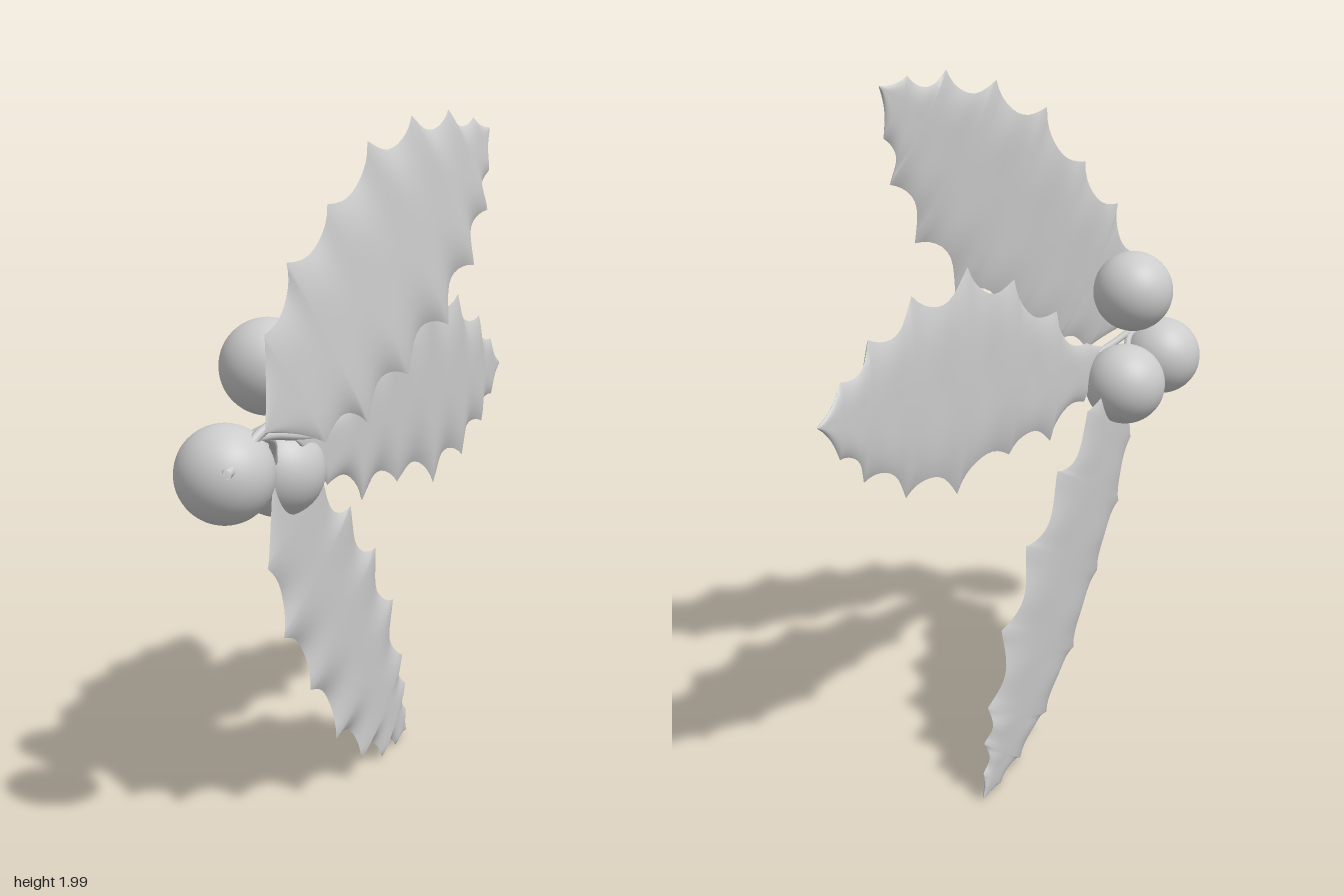
import * as THREE from 'three';

const STEPS = 10; // samples per scallop
const ACROSS = 16; // strips across a leaf
const material = new THREE.MeshStandardMaterial({ color: 0xcccccc, side: THREE.DoubleSide, roughness: 0.7 });

// Scalloped edge through the spine tips, in (z, y); side is +1 or -1 for the inward direction
function scallopedEdge(points, side) {
  const out = [];
  const last = points.length - 2;
  for (let i = 0; i <= last; i++) {
    const a = new THREE.Vector2(...points[i]);
    const b = new THREE.Vector2(...points[i + 1]);
    const d = b.clone().sub(a);
    const depth = side * (i === 0 ? 0.08 : i === last ? 0.15 : 0.47);
    const control = a.clone().lerp(b, 0.6).add(new THREE.Vector2(-d.y, d.x).multiplyScalar(depth));
    const curve = new THREE.QuadraticBezierCurve(a, control, b);
    for (let k = i ? 1 : 0; k <= STEPS; k++) out.push(curve.getPoint(k / STEPS));
  }
  return out;
}

// Plump, round-edged leaf between two edges, lying on the plane x = a + b z + c y
function makeLeaf({ name, base, tip, upper, lower, plane: [a, b, c] }) {
  const top = scallopedEdge([base, ...upper, tip], 1);
  const bottom = scallopedEdge([base, ...lower, tip], -1);
  const positions = [];
  const index = [];
  const row = ACROSS + 1;
  for (const face of [1, -1]) {
    const start = positions.length / 3;
    top.forEach((p, i) => {
      const taper = Math.max(Math.sin(Math.PI * i / (top.length - 1)), 0);
      const wave = Math.cos(2 * Math.PI * i / STEPS);
      for (let j = 0; j <= ACROSS; j++) {
        const v = -Math.cos(Math.PI * j / ACROSS);
        const q = p.clone().lerp(bottom[i], (v + 1) / 2);
        const lens = 0.021 * (1 - v ** 4) * Math.sqrt(taper);
        const ripple = 0.008 * taper * v * v * wave;
        positions.push(a + b * q.x + c * q.y + face * lens + ripple, q.y, q.x);
        if (i < top.length - 1 && j < ACROSS) {
          const n = start + i * row + j;
          if (face > 0) index.push(n, n + 1, n + row, n + 1, n + row + 1, n + row);
          else index.push(n, n + row, n + 1, n + 1, n + row, n + row + 1);
        }
      }
    });
  }
  const geometry = new THREE.BufferGeometry();
  geometry.setAttribute('position', new THREE.Float32BufferAttribute(positions, 3));
  geometry.setIndex(index);
  geometry.computeVertexNormals();
  const mesh = new THREE.Mesh(geometry, material);
  mesh.name = name;
  return mesh;
}

function makeStem(name, points, radius) {
  const curve = new THREE.CatmullRomCurve3(points.map(p => new THREE.Vector3(...p)));
  const mesh = new THREE.Mesh(new THREE.TubeGeometry(curve, 20, radius, 8), material);
  mesh.name = name;
  return mesh;
}

export function createModel() {
  const group = new THREE.Group();
  group.name = 'hollySprig';

  // Leaves: spine tips as (z, y) from base to tip
  const leaves = [
    {
      name: 'upperLeaf', base: [0.72, 1.165], tip: [-0.505, 1.962], plane: [0.232, 0.18, -0.09],
      upper: [[0.697, 1.4], [0.59, 1.57], [0.4, 1.715], [0.195, 1.885], [-0.04, 1.967], [-0.25, 1.998], [-0.4, 1.985]],
      lower: [[0.475, 1.112], [0.28, 1.14], [0.065, 1.25], [-0.17, 1.375], [-0.345, 1.545], [-0.45, 1.71], [-0.48, 1.83]],
    },
    {
      name: 'middleLeaf', base: [0.54, 1.125], tip: [-0.893, 1.195], plane: [-0.005, 0.32, 0],
      upper: [[0.38, 1.16], [0.2, 1.29], [-0.03, 1.42], [-0.26, 1.487], [-0.51, 1.447], [-0.69, 1.368], [-0.8, 1.285]],
      lower: [[0.365, 0.975], [0.165, 0.897], [-0.06, 0.913], [-0.32, 0.867], [-0.55, 0.922], [-0.72, 1.012], [-0.81, 1.095]],
    },
    {
      name: 'lowerLeaf', base: [0.58, 1.09], tip: [-0.358, 0.015], plane: [-0.085, 0.45, -0.04],
      upper: [[0.27, 0.98], [0.07, 0.85], [-0.12, 0.683], [-0.258, 0.482], [-0.33, 0.28], [-0.35, 0.18], [-0.354, 0.09]],
      lower: [[0.637, 0.8], [0.562, 0.6], [0.41, 0.41], [0.245, 0.21], [0.055, 0.077], [-0.12, 0.015], [-0.25, 0.005]],
    },
  ];
  for (const leaf of leaves) group.add(makeLeaf(leaf));

  // Stems joining the leaves
  group.add(makeStem('mainStem', [[0.264, 1.08, 0.85], [0.248, 1.1, 0.8], [0.238, 1.155, 0.73], [0.236, 1.18, 0.68]], 0.013));
  group.add(makeStem('middleStem', [[0.236, 1.15, 0.73], [0.2, 1.145, 0.64], [0.165, 1.13, 0.54], [0.135, 1.115, 0.44]], 0.011));
  group.add(makeStem('lowerStem', [[0.225, 1.15, 0.71], [0.185, 1.13, 0.63], [0.13, 1.06, 0.57], [0.1, 0.97, 0.5]], 0.011));

  // Berries
  const berryGeometry = new THREE.SphereGeometry(0.126, 40, 28);
  [['frontBerry', 0.163, 1.06, 0.767], ['lowerBerry', 0.056, 1.025, 0.487], ['upperBerry', 0.099, 1.306, 0.56]]
    .forEach(([name, x, y, z]) => {
      const berry = new THREE.Mesh(berryGeometry, material);
      berry.name = name;
      berry.position.set(x, y, z);
      group.add(berry);
    });
  return group;
}
